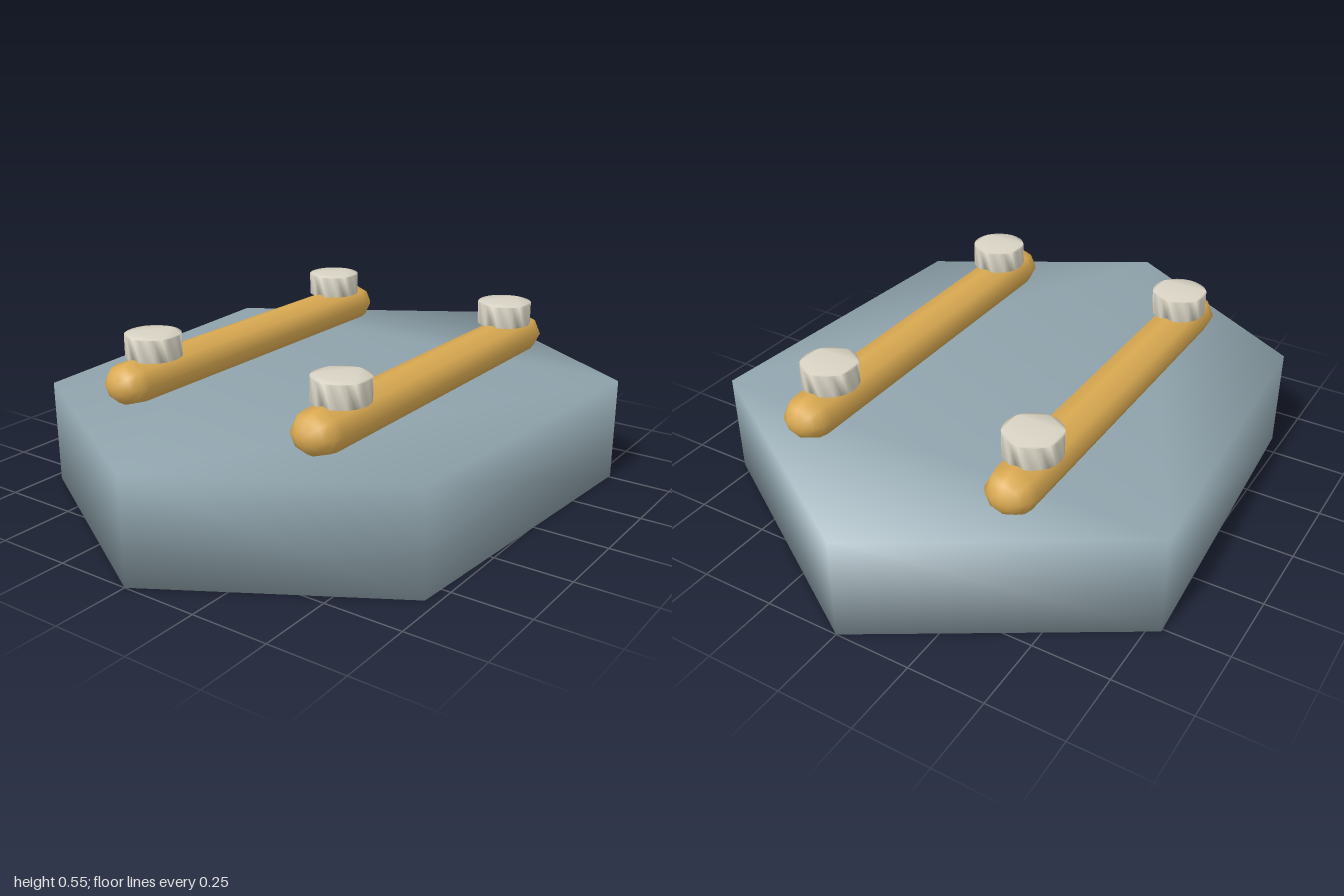
import * as THREE from 'three';
import { mergeVertices } from 'three/addons/utils/BufferGeometryUtils.js';

const slate = new THREE.MeshStandardMaterial({ color: 0x90a4ad, name: 'slate' });
const amber = new THREE.MeshStandardMaterial({ color: 0xd9a951, name: 'amber' });
const ivory = new THREE.MeshStandardMaterial({ color: 0xd8d3c3, name: 'ivory' });

// Upright prism from an [x, z] outline, welded so its shading is smooth across edges
function softPrism(outline, height) {
  const shape = new THREE.Shape(outline.map(([x, z]) => new THREE.Vector2(x, -z)));
  const geometry = new THREE.ExtrudeGeometry(shape, { depth: height, bevelEnabled: false });
  geometry.rotateX(-Math.PI / 2);
  geometry.deleteAttribute('normal');
  geometry.deleteAttribute('uv');
  const welded = mergeVertices(geometry);
  welded.computeVertexNormals();
  return welded;
}

function addPart(parent, name, geometry, material, x, y, z) {
  const mesh = new THREE.Mesh(geometry, material);
  mesh.name = name;
  mesh.position.set(x, y, z);
  parent.add(mesh);
}

export function createModel() {
  const model = new THREE.Group();
  model.name = 'slabWithRails';

  // Six-sided base slab, slightly wider at the back
  const outline = [[0, 1], [0.715, 0.58], [0.79, -0.51], [0, -1], [-0.79, -0.51], [-0.715, 0.58]];
  addPart(model, 'baseSlab', softPrism(outline, 0.34), slate, 0, 0, 0);

  // Slightly flattened round-ended rail, running front to back
  const railGeometry = new THREE.CapsuleGeometry(0.083, 1.187, 4, 8);
  railGeometry.rotateX(Math.PI / 2);
  railGeometry.scale(1, 0.84, 1);

  // Round knob
  const sides = 24;
  const circle = Array.from({ length: sides }, (_, i) => {
    const a = (i / sides) * Math.PI * 2;
    return [0.09 * Math.cos(a), -0.09 * Math.sin(a)];
  });
  const knobGeometry = softPrism(circle, 0.073);

  // One rail with a knob near each end, on both sides
  for (const [side, sign] of [['left', 1], ['right', -1]]) {
    const assembly = new THREE.Group();
    assembly.name = `${side}RailAssembly`;
    assembly.position.x = 0.36 * sign;
    addPart(assembly, `${side}Rail`, railGeometry, amber, 0, 0.41, -0.02);
    addPart(assembly, `${side}FrontKnob`, knobGeometry, ivory, 0, 0.472, 0.47);
    addPart(assembly, `${side}BackKnob`, knobGeometry, ivory, 0, 0.472, -0.51);
    model.add(assembly);
  }
  return model;
}
